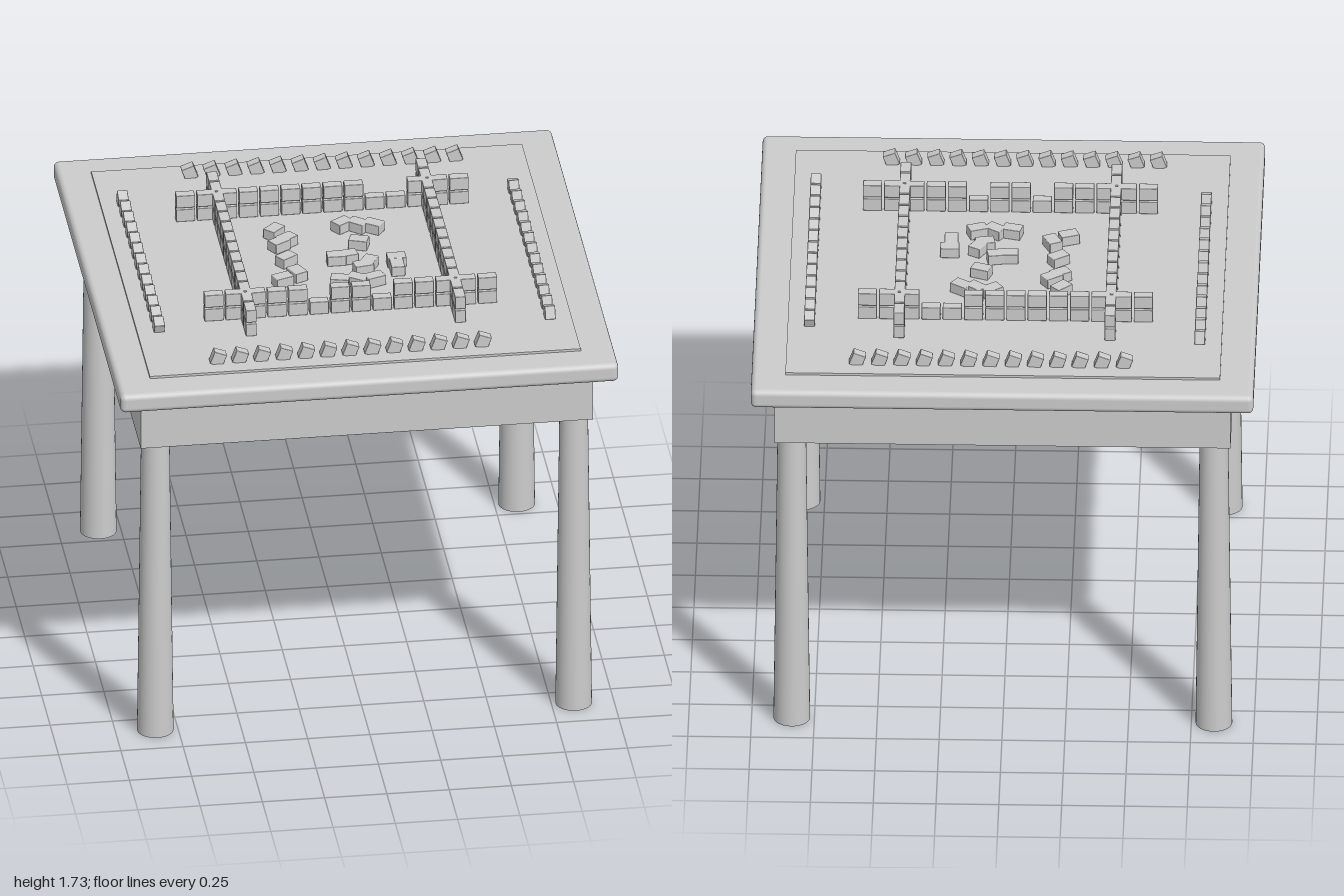
import * as THREE from 'three';
import { RoundedBoxGeometry } from 'three/addons/geometries/RoundedBoxGeometry.js';

const grey = new THREE.MeshStandardMaterial({ color: 0xcccccc });
grey.name = 'plain grey';

const SURFACE = 1.61; // playing surface height
const TILE = { long: 0.076, mid: 0.055, thin: 0.043 };

function add(parent, name, geometry, x = 0, y = 0, z = 0) {
  const mesh = new THREE.Mesh(geometry, grey);
  mesh.name = name;
  mesh.position.set(x, y, z);
  parent.add(mesh);
  return mesh;
}

function tileBox(w, h, d) {
  return new RoundedBoxGeometry(w, h, d, 1, 0.003);
}

function makeTable() {
  const table = new THREE.Group();
  table.name = 'table';
  add(table, 'tableTop', new RoundedBoxGeometry(2, 0.08, 2, 4, 0.022), 0, 1.56, 0);
  add(table, 'playingMat', new THREE.BoxGeometry(1.73, 0.02, 1.73), 0, SURFACE - 0.01, 0);
  add(table, 'apron', new THREE.BoxGeometry(1.815, 0.22, 1.815), 0, 1.42, 0);
  const leg = new THREE.CylinderGeometry(0.057, 0.073, 1.32, 32);
  for (const x of [-0.84, 0.84]) for (const z of [-0.84, 0.84]) add(table, 'leg', leg, x, 0.66, z);
  return table;
}

// Two-layer wall of 14 stacks; gaps lists stacks without an upper tile
function makeWall(gaps) {
  const wall = new THREE.Group();
  wall.name = 'tileWall';
  const tile = tileBox(TILE.long, TILE.mid, TILE.thin);
  for (let i = 0; i < 14; i++) {
    const x = (i - 6.5) * 0.0845;
    add(wall, 'lowerTile', tile, x, SURFACE + 0.0285, 0.42);
    if (!gaps.includes(i)) add(wall, 'upperTile', tile, x, SURFACE + 0.09, 0.42);
  }
  return wall;
}

// Row of 13 leaning tiles in front of one player
function makeHand() {
  const hand = new THREE.Group();
  hand.name = 'playerHand';
  const tile = tileBox(0.053, 0.055, 0.042);
  for (let i = 0; i < 13; i++) {
    add(hand, 'handTile', tile, -0.58 + i * 0.0886, SURFACE + 0.02, 0.778).rotation.z = -0.36;
  }
  return hand;
}

// Loose tiles in the middle: x, z, turn in degrees
const discards = [
  [-0.217, -0.228, 45], [-0.212, -0.12, 32], [-0.178, -0.15, 35], [-0.201, 0.008, 35],
  [-0.238, 0.175, 20], [-0.174, 0.131, -65], [0.058, -0.249, 35], [0.12, -0.238, -40],
  [0.18, -0.222, -35], [0.104, -0.094, -20], [-0.003, 0.024, 0], [0.045, 0.019, 10],
  [0.12, 0.083, 60], [0.094, 0.115, 10], [0.233, 0.067, 0], [0.228, 0.131, 90],
  [-0.013, 0.217, -15], [0.056, 0.217, -35], [0.126, 0.217, 20],
];

function makeDiscards() {
  const group = new THREE.Group();
  group.name = 'discardedTiles';
  const tile = tileBox(TILE.long, TILE.thin, TILE.mid);
  for (const [x, z, turn] of discards) {
    add(group, 'looseTile', tile, x, SURFACE + TILE.thin / 2, z).rotation.y = THREE.MathUtils.degToRad(turn);
  }
  return group;
}

export function createModel() {
  const model = new THREE.Group();
  model.name = 'tileGameTable';
  model.add(makeTable(), makeDiscards());
  // One wall and one hand for each of the four sides
  const gaps = [[5, 8], [], [3, 4], []];
  for (let side = 0; side < 4; side++) {
    const wall = makeWall(gaps[side]);
    const hand = makeHand();
    wall.rotation.y = hand.rotation.y = side * Math.PI / 2;
    model.add(wall, hand);
  }
  return model;
}
